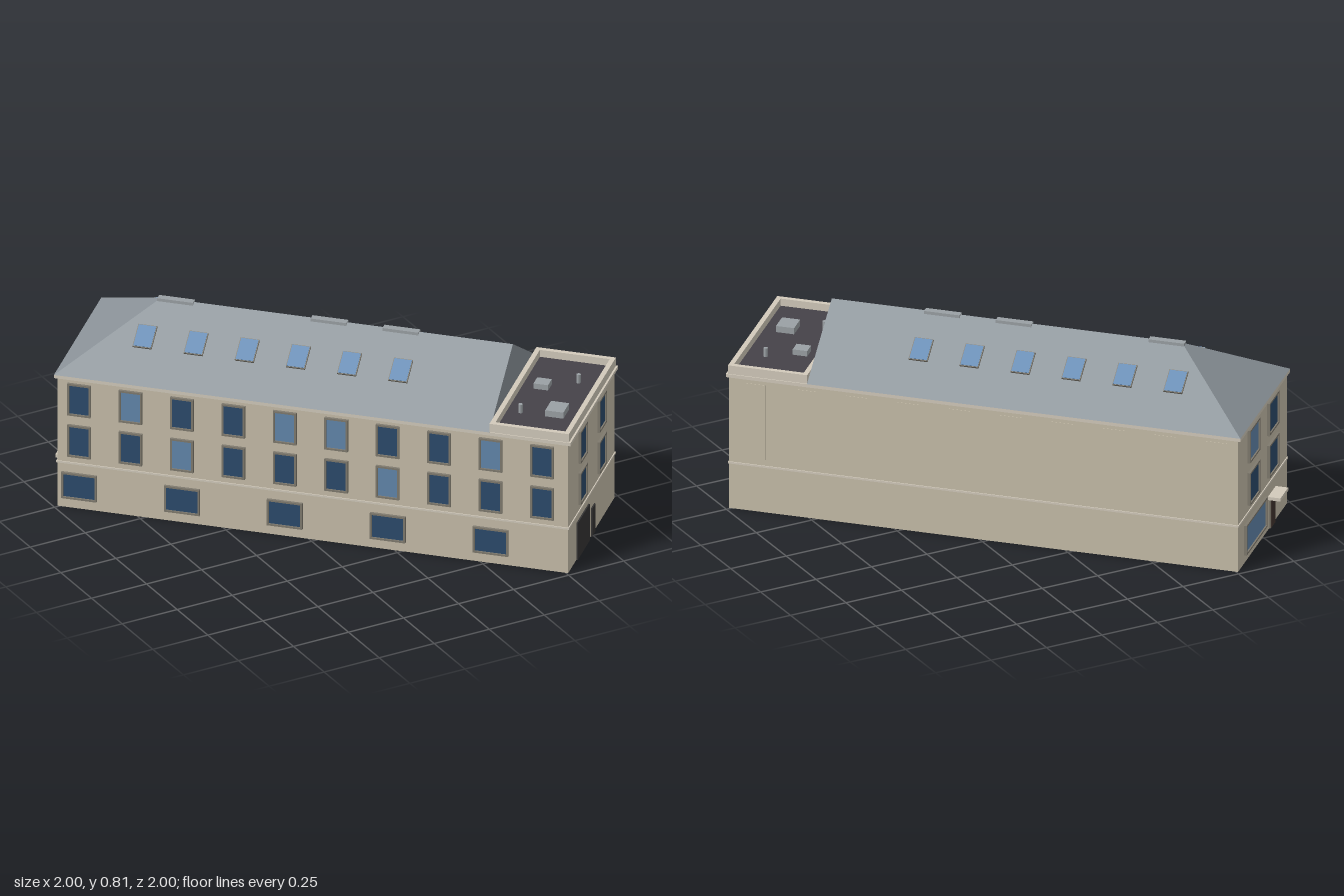
import * as THREE from 'three';

const L = 1.054, W = 0.337;            // half length and half width of the walls
const EL = 1.066, EW = 0.345;          // half length and half width of the eaves
const EAVE = 0.588, RIDGE = 0.81, GABLE = 0.73;

const mat = (color) => new THREE.MeshStandardMaterial({ color, flatShading: true });
const M = {
  wall: mat(0xc6bda9), trim: mat(0xd2cabb), frame: mat(0x7f7a6e), roof: mat(0x8b9399),
  dark: mat(0x2b4a6c), light: mat(0x6286ac), skylight: mat(0x6088b2), flat: mat(0x454248),
  door: mat(0x353434), metal: mat(0x9aa0a4), brown: mat(0x40342e),
};

function box(parent, name, m, w, h, d, x, y, z) {
  const mesh = new THREE.Mesh(new THREE.BoxGeometry(w, h, d), m);
  mesh.name = name;
  mesh.position.set(x, y, z);
  parent.add(mesh);
  return mesh;
}

// Outline of given width and height with a hole, leaving a border
function frameGeometry(w, h, border, depth) {
  const rect = (P, a, b) => new P([
    new THREE.Vector2(-a, -b), new THREE.Vector2(a, -b),
    new THREE.Vector2(a, b), new THREE.Vector2(-a, b)]);
  const shape = rect(THREE.Shape, w / 2, h / 2);
  shape.holes.push(rect(THREE.Path, w / 2 - border, h / 2 - border));
  return new THREE.ExtrudeGeometry(shape, { depth, bevelEnabled: false });
}

// Framed window on a facade whose outward direction is +z
function addWindow(facade, x, y, w, h, glass) {
  const g = new THREE.Group();
  g.name = 'window';
  g.position.set(x, y, 0);
  const frame = new THREE.Mesh(frameGeometry(w, h, 0.008, 0.011), M.frame);
  frame.name = 'windowFrame';
  g.add(frame);
  box(g, 'windowGlass', glass, w - 0.014, h - 0.014, 0.01, 0, 0, 0);
  facade.add(g);
}

function addFacade(parent, name, angle, distance) {
  const g = new THREE.Group();
  g.name = name;
  g.rotation.y = angle;
  g.position.set(Math.sin(angle) * distance, 0, Math.cos(angle) * distance);
  parent.add(g);
  return g;
}

// Roof hipped at one end and cut off by an upright gable at the other
function roofGeometry() {
  const p = [
    [-EL, EAVE, EW], [GABLE, EAVE, EW], [GABLE, EAVE, -EW], [-EL, EAVE, -EW],
    [-EL + EW, RIDGE, 0], [GABLE, RIDGE, 0]];
  const faces = [0, 1, 5, 0, 5, 4, 2, 3, 4, 2, 4, 5, 3, 0, 4, 1, 2, 5, 0, 3, 2, 0, 2, 1];
  const geo = new THREE.BufferGeometry();
  geo.setAttribute('position', new THREE.Float32BufferAttribute(faces.flatMap((i) => p[i]), 3));
  geo.computeVertexNormals();
  return geo;
}

export function createModel() {
  const model = new THREE.Group();
  model.name = 'building';
  const b = new THREE.Group();
  b.name = 'buildingBody';
  b.rotation.y = -Math.PI / 4;
  model.add(b);

  // Walls, string course and cornice
  box(b, 'walls', M.wall, 2 * L, 0.575, 2 * W, 0, 0.2875, 0);
  box(b, 'stringCourse', M.trim, 2 * L + 0.008, 0.008, 2 * W + 0.008, 0, 0.2, 0);
  box(b, 'cornice', M.trim, 2 * EL, 0.014, 2 * EW, 0, 0.581, 0);

  // Pitched roof
  const roof = new THREE.Mesh(roofGeometry(), M.roof);
  roof.name = 'pitchedRoof';
  b.add(roof);
  for (const s of [-0.66, -0.027, 0.27]) box(b, 'ridgeVent', M.metal, 0.148, 0.018, 0.03, s, 0.804, 0);

  // Skylights on both slopes
  const slope = Math.atan2(RIDGE - EAVE, EW);
  for (const side of [1, -1]) {
    for (let i = 0; i < 6; i++) {
      const g = new THREE.Group();
      g.name = 'skylight';
      const t = 0.157;
      g.position.set(-0.743 + i * 0.211, EAVE + (RIDGE - EAVE) * (1 - t / EW), side * t);
      g.rotation.x = side * slope;
      box(g, 'skylightFrame', M.frame, 0.078, 0.016, 0.104, 0, 0, 0);
      box(g, 'skylightGlass', M.skylight, 0.072, 0.016, 0.098, 0, 0.002, 0);
      b.add(g);
    }
  }

  // Flat roof behind a parapet
  const x0 = GABLE, x1 = L + 0.004, zw = W + 0.004, th = 0.02, ph = 0.037;
  const py = EAVE + ph / 2, mid = (x0 + x1) / 2;
  box(b, 'flatRoof', M.flat, x1 - x0 - th, 0.006, 2 * zw - th, mid, EAVE + 0.003, 0);
  for (const side of [1, -1]) {
    box(b, 'parapetSide', M.trim, x1 - x0, ph, th, mid, py, side * (zw - th / 2));
    box(b, 'parapetEnd', M.trim, th, ph, 2 * (zw - th), mid + side * (x1 - x0 - th) / 2, py, 0);
  }
  box(b, 'roofUnit', M.metal, 0.06, 0.025, 0.055, 0.83, 0.605, -0.08);
  box(b, 'roofUnit', M.metal, 0.075, 0.028, 0.085, 0.947, 0.607, 0.12);
  for (const [x, z] of [[0.958, -0.152], [0.806, 0.156]]) {
    const pipe = new THREE.Mesh(new THREE.CylinderGeometry(0.009, 0.009, 0.042, 10), M.metal);
    pipe.name = 'ventPipe';
    pipe.position.set(x, 0.61, z);
    b.add(pipe);
  }

  // Long facade with ten columns of windows
  const rows = [0.487, 0.302], column = (i) => -0.963 + i * 0.2123;
  const lit = [[1, 4, 5, 8], [2, 6]];
  const long = addFacade(b, 'longFacade', 0, W);
  for (let i = 0; i < 10; i++) {
    rows.forEach((y, r) =>
      addWindow(long, column(i), y, 0.096, 0.142, lit[r].includes(i) ? M.light : M.dark));
    if (i % 2 === 0) addWindow(long, column(i), 0.1, 0.146, 0.116, M.dark);
  }

  // Blank long side with shallow blind panels
  const blank = addFacade(b, 'blankFacade', Math.PI, W);
  for (let i = 0; i < 10; i++) {
    box(blank, 'blindPanel', M.wall, 0.09, 0.325, 0.003, -column(i), 0.393, 0);
  }

  // End with garage door, under the flat roof
  const garageEnd = addFacade(b, 'garageEnd', Math.PI / 2, L);
  for (const x of [-0.137, 0.137]) {
    for (const y of rows) addWindow(garageEnd, x, y, 0.104, 0.142, M.dark);
  }
  box(garageEnd, 'garageDoor', M.door, 0.174, 0.164, 0.012, -0.132, 0.082, 0);
  box(garageEnd, 'sideDoor', M.door, 0.046, 0.124, 0.012, 0.016, 0.062, 0);

  // Entrance end, under the hip
  const entrance = addFacade(b, 'entranceEnd', -Math.PI / 2, L);
  for (const x of [-0.134, 0.134]) {
    for (const y of rows) addWindow(entrance, x, y, 0.138, 0.142, x < 0 && y > 0.4 ? M.light : M.dark);
  }
  addWindow(entrance, -0.108, 0.1, 0.29, 0.13, M.light);
  box(entrance, 'entranceDoorFrame', M.frame, 0.074, 0.128, 0.01, 0.13, 0.064, 0);
  box(entrance, 'entranceDoor', M.brown, 0.06, 0.12, 0.014, 0.13, 0.06, 0);
  box(entrance, 'entranceCanopy', M.trim, 0.108, 0.014, 0.052, 0.13, 0.138, 0.026);

  return model;
}
